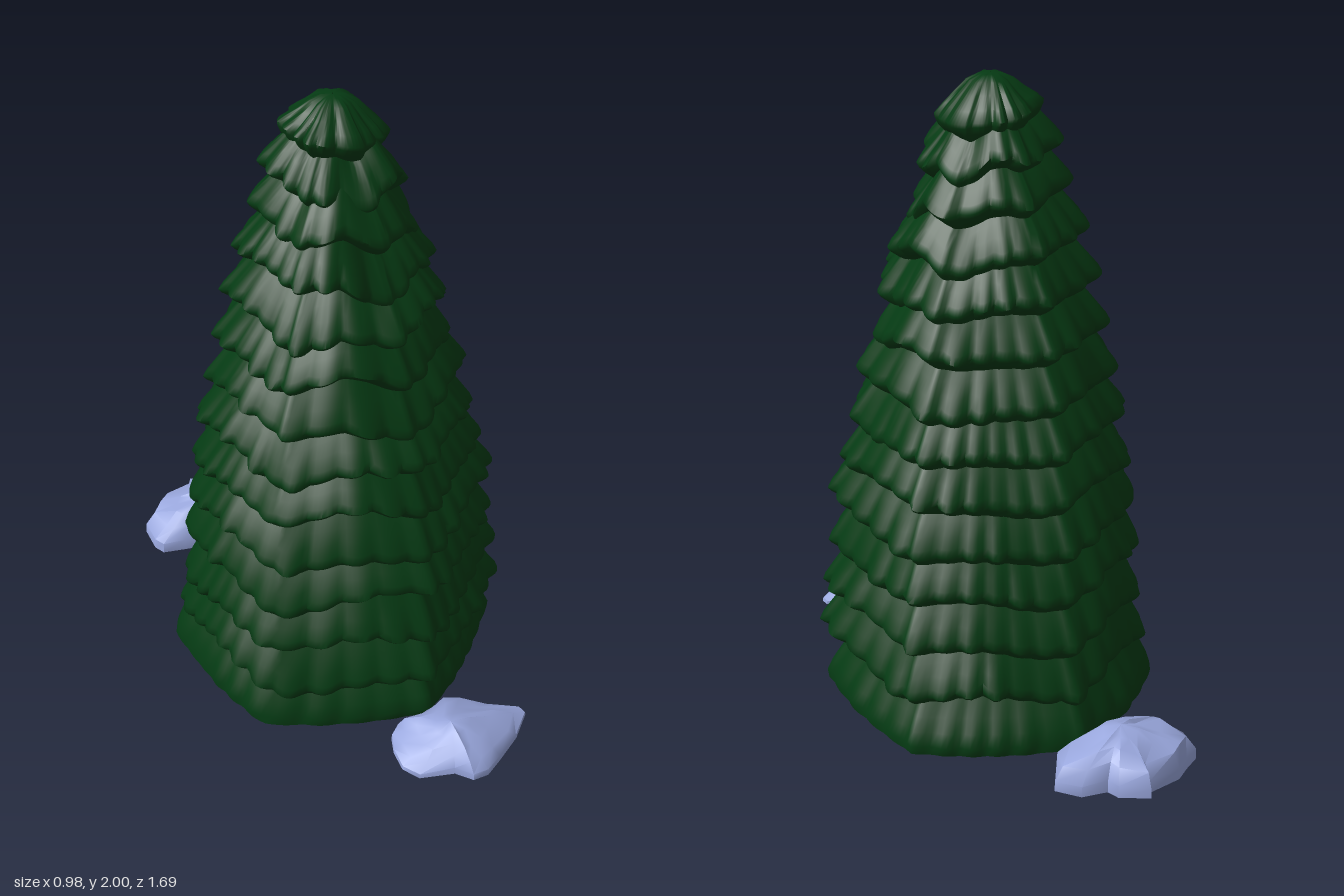
import * as THREE from 'three';
import { toCreasedNormals } from 'three/addons/utils/BufferGeometryUtils.js';

const SEG = 180;

// Small seeded random generator
function seeded(seed) {
  return () => {
    seed = (seed * 16807) % 2147483647;
    return seed / 2147483647;
  };
}

// Skin a stack of closed rings (bottom to top) into one surface
function skin(rings, crease) {
  const n = rings[0].length;
  const index = [];
  for (let i = 0; i < rings.length - 1; i++) {
    for (let j = 0; j < n; j++) {
      const a = i * n + j;
      const b = i * n + (j + 1) % n;
      index.push(a, b, b + n, a, b + n, a + n);
    }
  }
  const geometry = new THREE.BufferGeometry();
  geometry.setAttribute('position', new THREE.Float32BufferAttribute(rings.flat(2), 3));
  geometry.setIndex(index);
  return toCreasedNormals(geometry, crease);
}

// Tree outline: lip radius against height
const OUTLINE = [[0, 0.508], [0.2, 0.496], [0.4, 0.486], [0.6, 0.468], [0.75, 0.45], [0.9, 0.42],
  [1.05, 0.388], [1.25, 0.348], [1.4, 0.31], [1.55, 0.272], [1.7, 0.226], [1.87, 0.168], [2, 0.1]];

function lipRadius(y) {
  const i = Math.max(1, OUTLINE.findIndex(([top]) => y <= top));
  const [y0, r0] = OUTLINE[i - 1], [y1, r1] = OUTLINE[i];
  return r0 + (r1 - r0) * (y - y0) / (y1 - y0);
}

// Softened hexagonal plan with corners at front and back
function hexagon(a) {
  const side = Math.PI / 3;
  const d = (a % side) - side / 2;
  return 0.955 + 0.6 * (1 / Math.cos(d * 0.98) - 1);
}

// Sections of a tier: [inset from outline, height from lip, strength of scallops]
const TIER = [[0.066, -0.055, 0.1], [0.036, -0.036, 0.4], [0.01, -0.014, 0.8], [0, 0, 1], [0.006, 0.022, 0.9],
  [0.024, 0.055, 0.6], [0.043, 0.09, 0.3], [0.08, 0.145, 0]];
const BASE = [[0.5, 0, 0], [0.004, 0, 0.3], [0, 0.03, 0.6], [0.014, 0.07, 0.4], [0.035, 0.11, 0.2], [0.07, 0.17, 0]];
const CROWN = [[0.06, -0.06, 0.2], [0.03, -0.035, 0.5], [0.008, -0.012, 0.8], [0, 0, 1], [0.012, 0.025, 0.8],
  [0.03, 0.055, 0.5], [0.045, 0.083, 0.3], [0.07, 0.098, 0], [0.098, 0.1, 0]];

function tierGeometry(y, seed, sections) {
  const rand = seeded(seed);
  const wave = [1, 2, 3, 5].map((k) => ({ k, p: rand() * 6.28 }));
  const teeth = y < 1 ? 32 : y < 1.6 ? 24 : 15;
  const phase = rand() * 6.28;
  const jag = Array.from({ length: teeth }, () => rand());
  const shift = 0.027 * Math.min(1, y * 5, (2 - y) * 3);
  const sag = sections === TIER ? 1 : 0;
  const tilt = y > 1.4 ? 0.024 : 0;
  const rings = sections.map(([inset, up, fade]) => {
    const ring = [];
    for (let j = 0; j < SEG; j++) {
      const a = j / SEG * Math.PI * 2;
      // Uneven scallops round the lip, fading up the slope
      const u = (a / (Math.PI * 2) * teeth + 0.35 * Math.sin(3 * a + phase) + teeth) % teeth;
      const bump = Math.abs(Math.sin(Math.PI * u)) * (0.4 + 1.2 * jag[Math.floor(u)]);
      const sway = wave.reduce((s, w) => s + Math.sin(w.k * a + w.p), 0);
      const r = Math.max(0.002, lipRadius(y + up) * hexagon(a) - inset
        + fade * (0.018 * (bump - 0.7) + 0.005 * sway));
      const h = y + up + sag * (0.012 * sway - fade * 0.012 * bump - 0.012 * Math.cos(6 * a))
        - tilt * Math.sin(a) * Math.min(1, r / 0.15) * Math.min(1, (2 - y - up) * 10);
      ring.push([r * Math.sin(a), h, r * Math.cos(a) + shift]);
    }
    return ring;
  });
  return skin(rings, 1.1);
}

// Rock dome raised from a ground outline of [x, z, relative height]
function rockGeometry(outline, peak, height, seed) {
  const rand = seeded(seed);
  const levels = [[1, 0], [0.99, 0.35], [0.86, 0.76], [0.58, 0.94], [0.28, 1], [0, 1]];
  const rings = levels.map(([t, f], row) => outline.map(([x, z, h]) => {
    const j = row > 1 && row < 5 ? 0.9 + 0.14 * rand() : 1;
    const s = t * j;
    return [
      peak[0] + (x - peak[0]) * s,
      Math.min(height, height * f * (1 + (h - 1) * t) * j),
      peak[1] + (z - peak[1]) * s,
    ];
  }));
  return skin(rings, 0.8);
}

export function createModel() {
  const model = new THREE.Group();
  const leaf = new THREE.MeshStandardMaterial({ color: 0x053a13, side: THREE.DoubleSide });
  const stone = new THREE.MeshStandardMaterial({ color: 0x9aa8de, side: THREE.DoubleSide });

  // Stacked foliage tiers, each with a jutting scalloped lip
  const tree = new THREE.Group();
  tree.name = 'tree';
  const lips = [0, 0.19, 0.35, 0.51, 0.66, 0.81, 0.95, 1.09, 1.24, 1.38, 1.52, 1.655, 1.78, 1.9];
  lips.forEach((y, i) => {
    const sections = i === 0 ? BASE : i === lips.length - 1 ? CROWN : TIER;
    const mesh = new THREE.Mesh(tierGeometry(y, 101 + i * 7919, sections), leaf);
    mesh.name = sections === CROWN ? 'treeTop' : `foliageTier${i + 1}`;
    tree.add(mesh);
  });
  model.add(tree);

  // Rocks at the foot of the tree, open underneath
  const frontOutline = [[-0.22, 0.67, 0.35], [-0.2, 0.6, 0.4], [-0.17, 0.55, 0.55], [-0.13, 0.53, 0.7],
    [-0.04, 0.54, 0.75], [0.05, 0.53, 0.6], [0.1, 0.56, 0.5], [0.16, 0.62, 0.4], [0.24, 0.69, 0.3],
    [0.24, 0.72, 0.3], [0.15, 0.78, 0.35], [0.05, 0.82, 0.5], [-0.02, 0.845, 0.6], [-0.07, 0.835, 0.6],
    [-0.1, 0.78, 0.65], [-0.2, 0.73, 0.4]];
  const backOutline = [[-0.28, -0.66, 0.7], [-0.26, -0.75, 0.7], [-0.2, -0.78, 0.75], [-0.15, -0.81, 0.7],
    [-0.03, -0.82, 0.75], [-0.02, -0.845, 0.6], [0.06, -0.79, 0.75], [0.07, -0.75, 0.8], [0.15, -0.73, 0.65],
    [0.2, -0.66, 0.6], [0.11, -0.54, 0.7], [-0.03, -0.54, 0.85], [-0.13, -0.56, 0.85], [-0.2, -0.59, 0.8],
    [-0.27, -0.62, 0.7]];
  const rocks = [
    ['frontRock', frontOutline, [-0.04, 0.68], 0.11, 31],
    ['backRock', backOutline, [-0.04, -0.66], 0.15, 77],
  ];
  for (const [name, outline, peak, height, seed] of rocks) {
    const rock = new THREE.Mesh(rockGeometry(outline.reverse(), peak, height, seed), stone);
    rock.name = name;
    model.add(rock);
  }
  return model;
}
